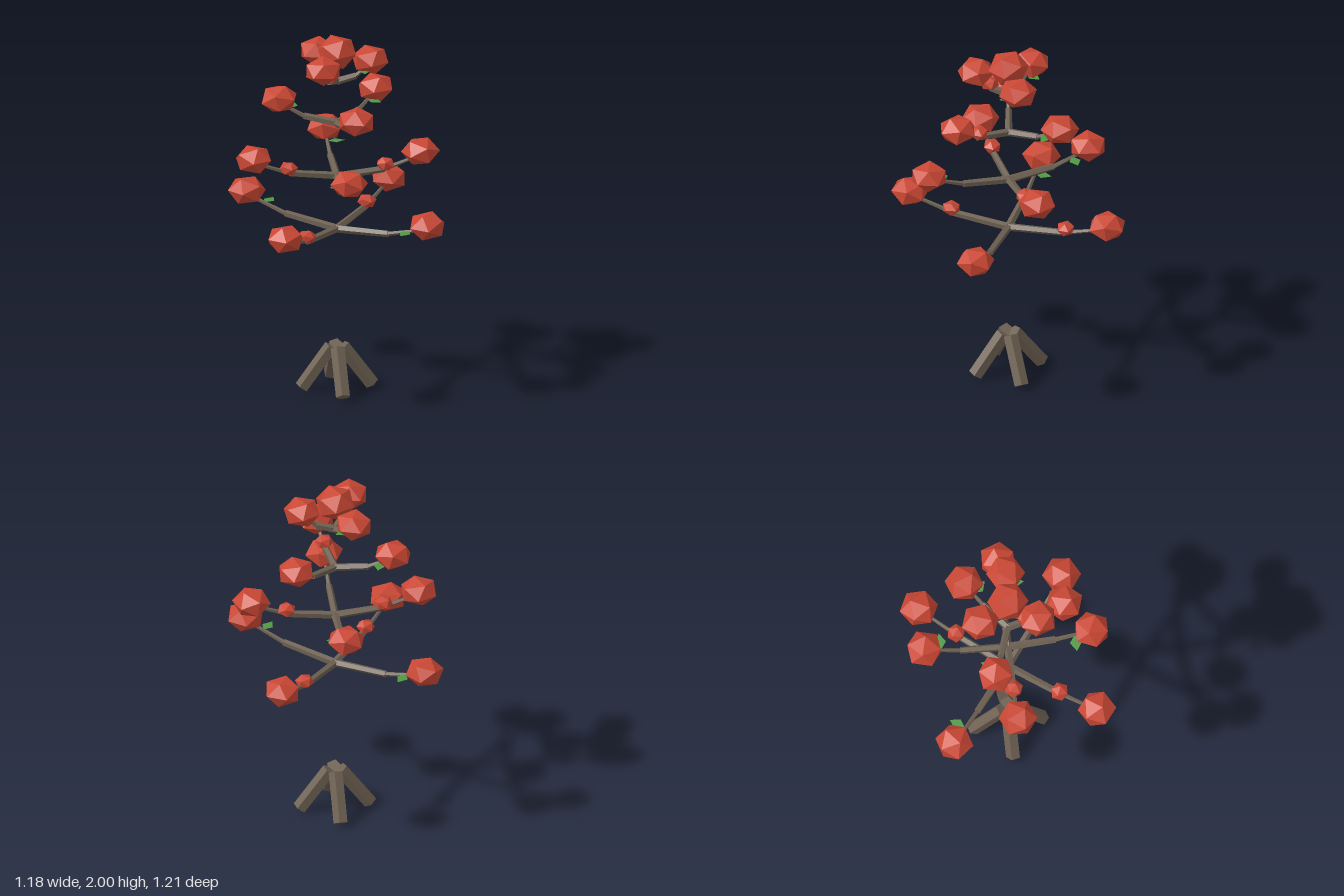
import * as THREE from 'three';

const paint = (name, color, extra = {}) => {
  const m = new THREE.MeshStandardMaterial({ color, flatShading: true, ...extra });
  m.name = name;
  return m;
};

export function createModel() {
  const bark = paint('bark brown', 0x6e6152);
  const red = paint('blossom red', 0xca4734);
  const green = paint('leaf green', 0x4f9845, { side: THREE.DoubleSide });
  const tree = new THREE.Group();
  tree.name = 'blossomTree';

  let seed = 7;
  const random = () => (seed = (seed * 16807) % 2147483647) / 2147483647;

  const add = (parent, name, geometry, material) => {
    const mesh = new THREE.Mesh(geometry, material);
    mesh.name = name;
    parent.add(mesh);
    return mesh;
  };

  // five-sided limb between two points
  const limb = (parent, name, a, b, r0, r1) => {
    const from = new THREE.Vector3(...a), dir = new THREE.Vector3(...b).sub(from);
    const mesh = add(parent, name, new THREE.CylinderGeometry(r1, r0, dir.length(), 5), bark);
    mesh.position.copy(from).addScaledVector(dir, 0.5);
    mesh.quaternion.setFromUnitVectors(new THREE.Vector3(0, 1, 0), dir.normalize());
  };

  // faceted ball, flattened in y
  const ball = (parent, name, x, y, r, turn, tilt, flat) => {
    const geometry = new THREE.IcosahedronGeometry(r, 0);
    geometry.rotateZ(tilt).rotateY(turn).scale(1, flat, 1);
    add(parent, name, geometry, red).position.set(x, y, 0);
  };

  // group whose +x points at the given angle, from x towards z
  const spoke = (name, degrees, y) => {
    const g = new THREE.Group();
    g.name = name;
    g.position.y = y;
    g.rotation.y = -THREE.MathUtils.degToRad(degrees);
    tree.add(g);
    return g;
  };

  // splayed roots
  for (let i = 0; i < 4; i++)
    limb(spoke('root', 25 + i * 90, 0), 'rootLimb', [0.19, 0.024, 0], [0.03, 0.246, 0], 0.04, 0.04);

  // diamond leaf lying flat, growing sideways
  const diamond = new THREE.Shape([[0, 0], [0.032, 0.045], [0, 0.095], [-0.032, 0.045]]
    .map(([x, y]) => new THREE.Vector2(x, y)));
  const leafGeometry = new THREE.ShapeGeometry(diamond).rotateX(Math.PI / 2);

  // branch tiers; b = branch with a bud, l = branch with a leaf
  const tiers = [
    { y: 0.91, reach: 0.555, start: 65, kinds: 'blbl' },
    { y: 1.21, reach: 0.45, start: 27, kinds: 'lblb' },
    { y: 1.51, reach: 0.315, start: 16, kinds: 'bll' },
    { y: 1.75, reach: 0.178, start: 60, kinds: 'bll' },
  ];
  for (const { y, reach, start, kinds } of tiers) {
    [...kinds].forEach((kind, i) => {
      const g = spoke('branch', start + i * 360 / kinds.length, y);
      const elbow = [reach * 0.57, 0.033, 0];
      limb(g, 'innerBranch', [0, 0.005, 0], elbow, 0.022, 0.019);
      limb(g, 'outerBranch', elbow, [reach * 0.96, 0.095, 0], 0.013, 0.009);
      ball(g, 'blossom', reach, 0.122, 0.105, random() * 6.28, (random() - 0.5) * 0.5, 0.74);
      if (kind === 'b') ball(g, 'bud', reach * 0.58, 0.06, 0.052, random() * 6.28, 0.2, 0.75);
      else add(g, 'leaf', leafGeometry, green).position.set(reach * 0.8, 0.073, 0);
    });
  }

  // crowning blossom
  ball(tree, 'topBlossom', 0, 1.92, 0.111, 0, 0, 0.85);
  return tree;
}
